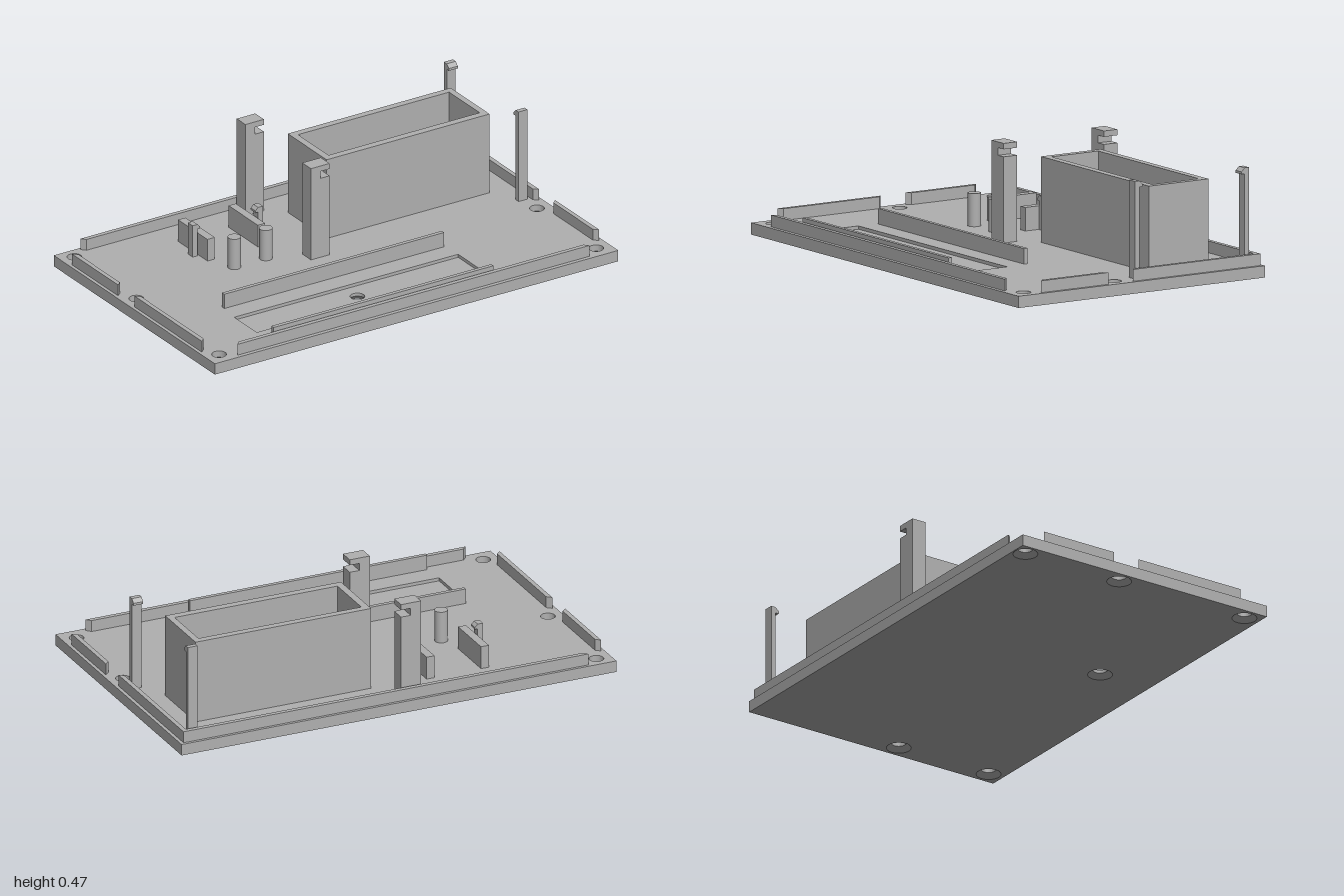
import * as THREE from 'three';

export function createModel() {
  const model = new THREE.Group();
  const grey = new THREE.MeshStandardMaterial({ color: 0xb0b0b0, side: THREE.DoubleSide });
  grey.name = 'light grey';

  const add = (name, geometry, parent = model) => {
    const mesh = new THREE.Mesh(geometry, grey);
    mesh.name = name;
    parent.add(mesh);
    return mesh;
  };
  // box given by its limits
  const block = (name, x0, x1, y0, y1, z0, z1) =>
    add(name, new THREE.BoxGeometry(x1 - x0, y1 - y0, z1 - z0)
      .translate((x0 + x1) / 2, (y0 + y1) / 2, (z0 + z1) / 2));
  const outline = (pts) => new THREE.Shape(pts.map(([a, b]) => new THREE.Vector2(a, b)));
  // points are [x, z] on the ground, raised from y0 to y1
  const ground = (pts) => outline(pts.map(([x, z]) => [x, -z]));
  const raise = (shape, y0, y1) =>
    new THREE.ExtrudeGeometry(shape, { depth: y1 - y0, bevelEnabled: false, curveSegments: 16 })
      .rotateX(-Math.PI / 2).translate(0, y0, 0);
  const rect = (x0, x1, z0, z1) => [[x0, z0], [x1, z0], [x1, z1], [x0, z1]];

  // base plate in layers: countersinks, screw holes, shallow recess
  const top = 0.05, sink = 0.022, floor = 0.036;
  const screws = [[-0.935, -0.56], [-0.935, -0.085], [-0.935, 0.55],
    [0.935, 0.095], [0.935, 0.55], [-0.135, 0.373]];
  const layer = (name, y0, y1, radius, holes, pocket) => {
    const shape = ground(rect(-1, 1, -0.618, 0.618));
    for (const [x, z] of holes) {
      shape.holes.push(new THREE.Path().absarc(x, -z, radius, 0, Math.PI * 2, true));
    }
    if (pocket) shape.holes.push(ground(pocket));
    add(name, raise(shape, y0, y1));
  };
  layer('plateBottom', 0, sink, 0.052, screws);
  layer('plateMiddle', sink, floor, 0.031, screws);
  layer('plateTop', floor, top, 0.031, screws.slice(0, 5), rect(-0.69, 0.42, 0.287, 0.46));
  for (const [x, z] of screws) {
    add('countersink', new THREE.CylinderGeometry(0.031, 0.052, sink, 32, 1, true)
      .translate(x, sink / 2, z));
  }

  // mitred rails around the rim
  const rails = {
    backAndSideRail: [[-0.877, -0.605], [0.985, -0.605], [0.985, 0.035], [0.965, 0.017],
      [0.965, -0.585], [-0.859, -0.585]],
    sideRail: [[0.985, 0.157], [0.985, 0.495], [0.965, 0.477], [0.965, 0.175]],
    rearRightRail: [[-0.985, -0.5], [-0.965, -0.482], [-0.965, -0.165], [-0.985, -0.147]],
    frontRightRail: [[-0.985, -0.022], [-0.965, -0.004], [-0.965, 0.477], [-0.985, 0.495]],
    frontRail: [[-0.877, 0.6], [0.87, 0.6], [0.852, 0.58], [-0.859, 0.58]],
  };
  for (const [name, pts] of Object.entries(rails)) add(name, raise(ground(pts), top, 0.1));

  // guide rails either side of the recess
  for (const z of [0.177, 0.556]) block('guideRail', -0.68, 0.41, top, 0.116, z, z + 0.018);

  // open-topped compartment
  const wall = ground(rect(0.042, 0.85, -0.435, -0.137));
  wall.holes.push(ground(rect(0.073, 0.822, -0.404, -0.17)));
  add('compartmentWalls', raise(wall, top, 0.414));

  // tall notched columns
  const column = outline([[-0.124, top], [-0.032, top], [-0.032, 0.415], [-0.076, 0.415],
    [-0.076, 0.447], [-0.032, 0.447], [-0.032, 0.472], [-0.124, 0.472]]);
  for (const z of [-0.067, -0.57]) {
    add('notchedColumn',
      new THREE.ExtrudeGeometry(column, { depth: 0.067, bevelEnabled: false }).translate(0, 0, z));
  }

  // hooked post: stem at x 0..stem, lip reaching to x = reach
  const hook = (name, height, stem, reach, lip, width) => add(name,
    new THREE.ExtrudeGeometry(outline([[0, top], [stem, top], [stem, height - lip],
      [reach, height - lip], [reach, height - lip * 0.6], [stem, height], [0, height]]),
    { depth: width, bevelEnabled: false }).translate(0, 0, -width / 2));

  // slim posts with lips facing each other
  for (const [z, turn] of [[0, 1], [-0.572, -1]]) {
    const post = hook('slimPost', 0.464, 0.022, 0.038, 0.026, 0.044);
    post.position.set(0.927, 0, z);
    post.rotation.y = turn * Math.PI / 2;
  }

  // switch holder: two plates, two small clips, two pegs
  for (const x of [-0.492, -0.242]) block('holderPlate', x, x + 0.036, top, 0.15, -0.45, -0.225);
  for (const [x, turn] of [[-0.523, 0], [-0.175, Math.PI]]) {
    const clip = hook('smallClip', 0.195, 0.024, 0.037, 0.022, 0.036);
    clip.position.set(x, 0, -0.308);
    clip.rotation.y = turn;
  }
  for (const x of [-0.428, -0.272]) {
    add('peg', new THREE.CylinderGeometry(0.028, 0.028, 0.14, 32).translate(x, 0.12, -0.118));
  }
  return model;
}
